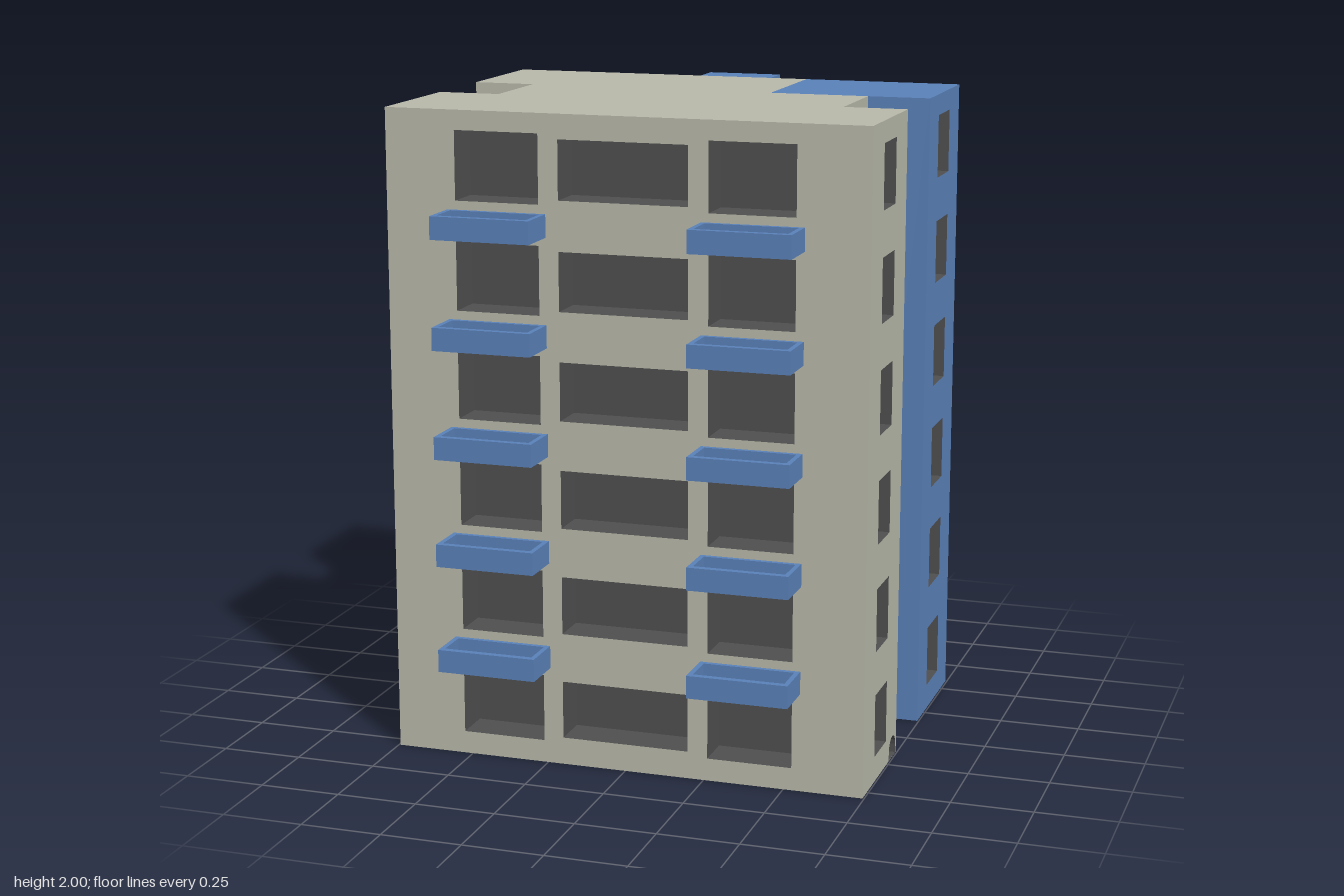
import * as THREE from 'three';

const material = (name, color) => {
  const m = new THREE.MeshStandardMaterial({ color, side: THREE.DoubleSide });
  m.name = name;
  return m;
};

const H = 2, FLOORS = 6, STEP = 0.332;
const X = 0.745, XN = 0.55, FRONT = 0.55, NF = 0.13, NB = -0.165, BACK = -0.58;

export function createModel() {
  const cream = material('cream', 0xb8b9aa);
  const blue = material('blue', 0x5a81b9);
  const dark = material('dark grey', 0x4f4f4f);
  const model = new THREE.Group();
  model.name = 'apartmentBlock';

  const add = (parent, name, geometry, mat) => {
    const mesh = new THREE.Mesh(geometry, mat);
    mesh.name = name;
    parent.add(mesh);
    return mesh;
  };

  const rect = (x0, x1, y0, y1) => [[x0, y0], [x1, y0], [x1, y1], [x0, y1]]
    .map(([x, y]) => new THREE.Vector2(x, y));

  // one opening per floor
  const column = (x0, x1, y0, y1, depth) => Array.from({ length: FLOORS }, (_, i) =>
    ({ name: 'windowRecess', depth, points: rect(x0, x1, y0 + i * STEP, y1 + i * STEP) }));

  // hollow niche: an extruded outline without its front cap
  const recessGeometry = (points, depth) => {
    const g = new THREE.ExtrudeGeometry(new THREE.Shape(points), { depth, bevelEnabled: false });
    const [caps, sides] = g.groups;
    g.clearGroups();
    g.addGroup(0, caps.count / 2, 0);
    g.addGroup(sides.start, sides.count, 0);
    return g.translate(0, 0, -depth);
  };

  // wall running from a to b (x, z), facing outward, with openings measured along it
  const wall = (name, a, b, mat, openings = []) => {
    const dx = b[0] - a[0], dz = b[1] - a[1];
    const group = new THREE.Group();
    group.name = name;
    group.position.set(a[0], 0, a[1]);
    group.rotation.y = Math.atan2(-dz, dx);
    const shape = new THREE.Shape(rect(0, Math.hypot(dx, dz), 0, H));
    for (const o of openings) {
      shape.holes.push(new THREE.Path(o.points));
      add(group, o.name, recessGeometry(o.points, o.depth), [dark]);
    }
    add(group, name + 'Panel', new THREE.ShapeGeometry(shape), mat);
    model.add(group);
  };

  // flat roof from (x, z) corners
  const roof = (name, corners, mat) => {
    const shape = new THREE.Shape(corners.map(([x, z]) => new THREE.Vector2(x, -z)));
    const g = new THREE.ShapeGeometry(shape).rotateX(-Math.PI / 2).translate(0, H, 0);
    add(model, name, g, mat);
  };

  // front wall: two window columns and a wide middle one
  wall('frontWall', [-X, FRONT], [X, FRONT], cream, [
    ...column(X - 0.525, X - 0.262, 0.07, 0.28, 0.12),
    ...column(X - 0.2, X + 0.2, 0.085, 0.265, 0.12),
    ...column(X + 0.262, X + 0.525, 0.07, 0.28, 0.12),
  ]);

  // small arched door on the left side, next to the notch
  const arch = [new THREE.Vector2(0.328, 0.001), new THREE.Vector2(0.412, 0.001)];
  for (let i = 0; i <= 8; i++) {
    const t = (i / 8) * Math.PI;
    arch.push(new THREE.Vector2(0.37 + 0.042 * Math.cos(t), 0.028 + 0.04 * Math.sin(t)));
  }
  const door = { name: 'doorRecess', depth: 0.06, points: arch };

  // left side, with the blue rear wing
  wall('leftFrontWingWall', [X, FRONT], [X, NF], cream,
    [...column(0.14, 0.285, 0.08, 0.275, 0.1), door]);
  wall('leftNotchFront', [X, NF], [XN, NF], cream);
  wall('leftNotchWall', [XN, NF], [XN, NB], cream);
  wall('leftNotchBack', [XN, NB], [X, NB], blue);
  wall('leftRearWingWall', [X, NB], [X, BACK], blue, column(0.125, 0.28, 0.08, 0.275, 0.1));

  // back walls
  wall('blueBackWall', [X, BACK], [0.24, BACK], blue,
    column(X - 0.525, X - 0.262, 0.07, 0.28, 0.12));
  wall('backWall', [0.24, BACK], [-X, BACK], cream,
    column(0.24 + 0.262, 0.24 + 0.525, 0.07, 0.28, 0.12));

  // right side
  wall('rightRearWingWall', [-X, BACK], [-X, NB], cream, column(0.135, 0.29, 0.08, 0.275, 0.1));
  wall('rightNotchBack', [-X, NB], [-XN, NB], cream);
  wall('rightNotchWall', [-XN, NB], [-XN, NF], cream);
  wall('rightNotchFront', [-XN, NF], [-X, NF], cream);
  wall('rightFrontWingWall', [-X, NF], [-X, FRONT], cream, column(0.135, 0.28, 0.08, 0.275, 0.1));

  // stair tower on the back
  const T = 0.12, TB = -0.69;
  wall('towerLeftWall', [T, BACK], [T, TB], blue);
  wall('towerBackWall', [T, TB], [-T, TB], blue);
  wall('towerRightWall', [-T, TB], [-T, BACK], blue);
  roof('towerRoof', [[-T, BACK], [T, BACK], [T, TB], [-T, TB]], blue);

  // main roof around the blue rear corner
  roof('mainRoof', [[-X, FRONT], [X, FRONT], [X, NF], [XN, NF], [XN, NB], [0.24, NB],
    [0.24, BACK], [-X, BACK], [-X, NB], [-XN, NB], [-XN, NF], [-X, NF]], cream);
  roof('blueRoof', [[0.24, NB], [X, NB], [X, BACK], [0.24, BACK]], blue);

  // balcony trays: a rim with a sunken floor
  const rim = new THREE.Shape(rect(-0.155, 0.155, -0.14, 0));
  rim.holes.push(new THREE.Path(rect(-0.14, 0.14, -0.12, -0.015)));
  const rimGeometry = new THREE.ExtrudeGeometry(rim, { depth: 0.07, bevelEnabled: false })
    .rotateX(-Math.PI / 2);
  const floorGeometry = new THREE.BoxGeometry(0.282, 0.03, 0.107).translate(0, 0.015, 0.0675);
  for (const side of [-1, 1]) {
    for (let i = 0; i < FLOORS - 1; i++) {
      const balcony = new THREE.Group();
      balcony.name = 'balcony';
      balcony.position.set(side * 0.395, 0.305 + i * STEP, FRONT);
      add(balcony, 'balconyRim', rimGeometry, blue);
      add(balcony, 'balconyFloor', floorGeometry, blue);
      model.add(balcony);
    }
  }
  return model;
}
